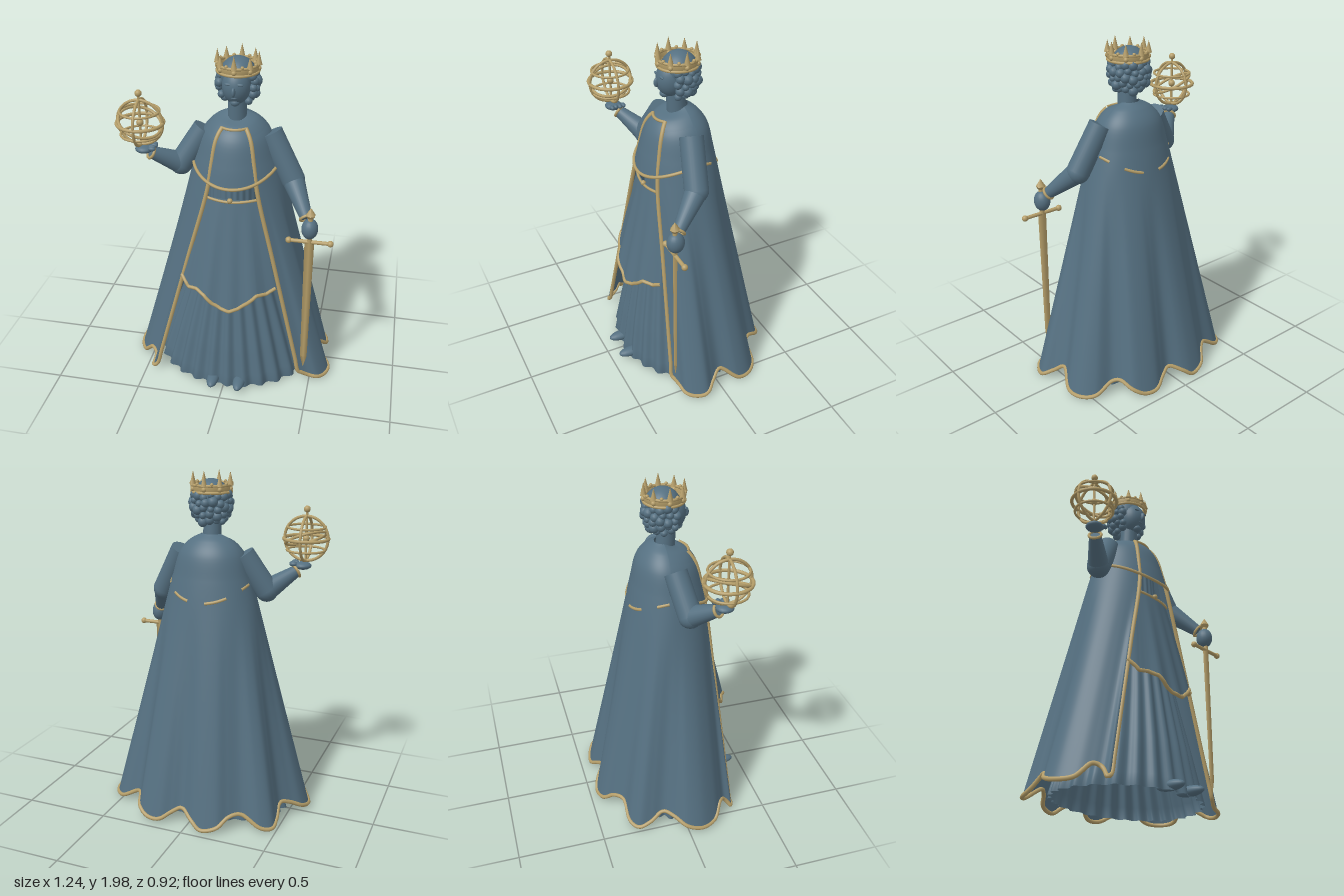
import * as THREE from 'three';
import { ParametricGeometry } from 'three/addons/geometries/ParametricGeometry.js';

const V = (x, y, z) => new THREE.Vector3(x, y, z);
const lerp = THREE.MathUtils.lerp;

export function createModel() {
  const model = new THREE.Group();
  const cloth = new THREE.MeshStandardMaterial({ color: 0x557081, side: THREE.DoubleSide });
  cloth.name = 'slate blue';
  const gold = new THREE.MeshStandardMaterial({ color: 0xb59e69 });
  gold.name = 'old gold';

  const add = (parent, name, geo, mat, p = V(0, 0, 0), scale) => {
    const m = new THREE.Mesh(geo, mat);
    m.name = name;
    m.position.copy(p);
    if (scale) m.scale.set(...scale);
    parent.add(m);
    return m;
  };
  const group = (name, x = 0, y = 0, z = 0) => {
    const g = new THREE.Group();
    g.name = name;
    g.position.set(x, y, z);
    model.add(g);
    return g;
  };
  const ball = (parent, name, mat, p, sx, sy = sx, sz = sx, n = 20) =>
    add(parent, name, new THREE.SphereGeometry(1, n, Math.ceil(n * 0.7)), mat, p, [sx, sy, sz]);
  const rod = (parent, name, mat, a, b, ra, rb = ra, n = 20) => {
    const m = add(parent, name, new THREE.CylinderGeometry(rb, ra, a.distanceTo(b), n), mat, a.clone().lerp(b, 0.5));
    m.quaternion.setFromUnitVectors(V(0, 1, 0), b.clone().sub(a).normalize());
    return m;
  };
  const trim = (parent, name, pts, r = 0.01) =>
    add(parent, name, new THREE.TubeGeometry(new THREE.CatmullRomCurve3(pts), pts.length * 4, r, 8), gold);
  const surface = (parent, name, f, nu, nv) =>
    add(parent, name, new ParametricGeometry((u, v, t) => t.copy(f(u, v)), nu, nv), cloth);
  const samples = (n, f) => Array.from({ length: n + 1 }, (_, i) => f(i / n));
  // Interpolates rows of numbers placed evenly along t
  const rowAt = (rows, t) => {
    const k = Math.min(t * (rows.length - 1), rows.length - 1.0001), i = Math.floor(k);
    return rows[i].map((a, j) => lerp(a, rows[i + 1][j], k - i));
  };

  // Cloak: shoulder rings [y, half width, back depth, front depth] flowing into a scalloped hem
  const shoulders = [[1.64, 0.058, 0.05, 0.072], [1.605, 0.125, 0.095, 0.143], [1.54, 0.183, 0.142, 0.187],
    [1.4, 0.228, 0.175, 0.224], [1.25, 0.27, 0.205, 0.25]];
  const hem = new THREE.CatmullRomCurve3([
    [-0.43, 0.05, 0.305], [-0.46, 0.02, 0.31], [-0.45, 0.08, 0.26], [-0.48, 0.1, 0.225], [-0.55, 0.03, 0.17],
    [-0.59, 0.025, 0.08], [-0.575, 0.05, -0.01],
    [-0.52, 0.09, -0.07], [-0.475, 0.11, -0.13], [-0.48, 0.05, -0.21], [-0.475, 0.02, -0.28], [-0.42, 0.03, -0.32],
    [-0.3, 0.1, -0.33], [-0.24, 0.09, -0.375], [-0.19, 0.04, -0.43], [-0.1, 0.02, -0.452], [-0.04, 0.06, -0.435],
    [0.04, 0.1, -0.387], [0.1, 0.07, -0.405], [0.17, 0.025, -0.435], [0.25, 0.025, -0.425], [0.31, 0.06, -0.39],
    [0.345, 0.1, -0.31], [0.38, 0.09, -0.278], [0.49, 0.03, -0.262], [0.555, 0.02, -0.2], [0.572, 0.03, -0.12],
    [0.525, 0.11, -0.01], [0.56, 0.07, 0.05], [0.605, 0.03, 0.11], [0.59, 0.02, 0.17],
    [0.55, 0.03, 0.22], [0.49, 0.05, 0.235], [0.435, 0.09, 0.262]].map(p => V(...p)));
  hem.arcLengthDivisions = 600;
  const ringPoints = (a, grow = 0) => shoulders.map(([y, rx, back, front], i) => {
    const c = Math.cos(a);
    return V(0.01 - (rx + grow) * Math.sin(a), y - 0.03 * Math.max(c, 0) * (1 - i / 4), c * ((c > 0 ? front : back) + grow));
  });
  const ring = (t, a, grow) => new THREE.CatmullRomCurve3(ringPoints(a, grow)).getPoint(t);
  // Folds run radially down the back, while the front edges swing outwards
  const ringAngle = p => {
    const f = Math.atan2(Math.abs(p.x), p.z);
    return -Math.sign(p.x) * (f - 0.45 * ((Math.PI - f) / (Math.PI - 1)) ** 2);
  };
  const cloakPoint = (u, v) => {
    const end = hem.getPointAt(u), pts = ringPoints(ringAngle(end)), top = pts[4];
    const mids = [0.35, 0.7].map(w => top.clone().lerp(end, w));
    return new THREE.CatmullRomCurve3([...pts, ...mids, end]).getPoint(v);
  };
  const cloak = group('cloak');
  surface(cloak, 'cloakCloth', cloakPoint, 200, 42);
  trim(cloak, 'cloakTrim', [
    ...samples(24, t => cloakPoint(0, lerp(1 / 7, 1, t))).slice(0, -1),
    ...samples(110, t => cloakPoint(t, 1)),
    ...samples(24, t => cloakPoint(1, lerp(1, 1 / 7, t))).slice(1)], 0.012);
  const [edgeA, edgeB] = [0, 1].map(u => ringAngle(hem.getPointAt(u)));
  trim(cloak, 'neckClasp', samples(8, t => ring(0.25, lerp(edgeA, edgeB, t), 0.005)), 0.008);

  // Short cape over the chest and shoulders, its hem lowest at the front
  const capePoint = (a, v) => {
    const y = 1.325 - 0.045 * Math.cos(2 * a);
    const end = 0.75 + (1.4 - y) / 0.15 * 0.25;
    return ring(end * v, a, lerp(-0.008, Math.cos(a) > -0.1 ? 0.008 : -0.006, v));
  };
  const cape = group('cape');
  surface(cape, 'capeCloth', (u, v) => capePoint(u * Math.PI * 2, v), 72, 20);
  for (const [a, b] of [[-1.35, 1.35], [2.5, 3.0], [3.4, 3.85], [1.7, 2.05], [4.25, 4.6]])
    trim(cape, 'capeTrim', samples(14, t => capePoint(lerp(a, b, t), 1).multiply(V(1.01, 1, 1.02))), 0.009);

  // Pleated gown from chest to floor: [half width, front depth, back depth]
  const gown = group('gown');
  const gownRows = [[0.15, 0.19, 0.12], [0.155, 0.205, 0.13], [0.21, 0.25, 0.17], [0.29, 0.3, 0.21], [0.38, 0.35, 0.26], [0.465, 0.39, 0.31]];
  surface(gown, 'pleatedSkirt', (u, v) => {
    const a = u * Math.PI * 2, [rx, f, b] = rowAt(gownRows, v), c = Math.cos(a);
    const fold = 1 + (0.012 + 0.02 * v) * Math.sin(a * 27 + 0.8 * Math.sin(3 * a));
    return V(rx * Math.sin(a) * fold, lerp(1.38, 0.015, v), c * (c > 0 ? f : b) * fold);
  }, 270, 20);

  // Overskirt with a wavy trimmed hem
  const apronHem = [0.7, 0.645, 0.648, 0.63, 0.585, 0.56, 0.55, 0.565, 0.6, 0.645, 0.64, 0.67].map(y => [y]);
  const apronPoint = (u, v) => {
    const x = (u * 2 - 1) * lerp(0.16, 0.275, v) + 0.008;
    const wave = 0.006 * v * Math.sin(u * 26);
    return V(x, lerp(1.2, rowAt(apronHem, u)[0], v), lerp(0.222, 0.365, v) - 1.45 * x * x + wave);
  };
  surface(gown, 'overskirt', apronPoint, 60, 20);
  trim(gown, 'overskirtTrim', samples(33, t => apronPoint(t, 1)), 0.011);
  trim(gown, 'belt', samples(12, t => apronPoint(t, 0.005).add(V(0, -0.012 * Math.sin(t * Math.PI), 0.004))), 0.008);
  ball(gown, 'beltKnot', gold, V(0.012, 1.195, 0.228), 0.015);
  for (const x of [-0.065, 0.095]) ball(gown, 'shoe', cloth, V(x, 0.045, 0.37), 0.036, 0.028, 0.088);

  // Head, face and curled hair
  const head = group('head', 0.014, 1.8, 0.015);
  rod(head, 'neck', cloth, V(0, -0.21, 0.005), V(0, -0.06, 0.015), 0.054, 0.05);
  ball(head, 'face', cloth, V(0, 0, 0.038), 0.078, 0.1, 0.083, 32);
  ball(head, 'scalp', cloth, V(0, 0.045, -0.01), 0.1, 0.1, 0.1, 32);
  ball(head, 'nose', cloth, V(0, -0.01, 0.122), 0.011, 0.026, 0.017);
  ball(head, 'mouth', cloth, V(0, -0.047, 0.106), 0.02, 0.007, 0.007);
  ball(head, 'chin', cloth, V(0, -0.08, 0.078), 0.026, 0.022, 0.025);
  for (const s of [-1, 1]) ball(head, 'brow', cloth, V(s * 0.03, 0.028, 0.108), 0.022, 0.007, 0.008);
  for (let row = 0; row < 5; row++) {
    const n = [11, 11, 11, 10, 8][row], r = [0.096, 0.104, 0.103, 0.092, 0.072][row];
    for (let i = 0; i < n; i++) {
      const a = lerp(1.1 + (row % 2) * 0.12, Math.PI * 2 - 1.1 - ((row + 1) % 2) * 0.12, i / (n - 1));
      const size = 0.024 + 0.005 * Math.sin(i * 5 + row * 3), shift = 0.008 * Math.sin(i * 2.3 + row);
      ball(head, 'curl', cloth, V(r * Math.sin(a), 0.055 - row * 0.034 + shift, r * Math.cos(a) - 0.005), size, size, size, 12);
    }
  }

  // Crown
  const crown = group('crown', 0.015, 1.873, 0.014);
  const bandProfile = [[0.106, 0], [0.112, 0], [0.117, 0.036], [0.109, 0.036], [0.106, 0]].map(p => new THREE.Vector2(...p));
  add(crown, 'crownBand', new THREE.LatheGeometry(bandProfile, 40), gold);
  for (const y of [0, 0.038])
    add(crown, 'crownRim', new THREE.TorusGeometry(0.112, 0.008, 8, 48), gold, V(0, y, 0)).rotation.x = Math.PI / 2;
  for (let i = 0; i < 16; i++) {
    const a = i * Math.PI / 8, p = y => V(0.112 * Math.sin(a), y, 0.112 * Math.cos(a));
    if (i % 2) ball(crown, 'crownBead', gold, p(0.046), 0.01, 0.01, 0.01, 10);
    else {
      const h = i % 4 ? 0.066 : 0.074;
      add(crown, 'crownSpike', new THREE.ConeGeometry(0.018, h, 8), gold, p(0.036 + h / 2));
      ball(crown, 'crownJewel', gold, p(0.018), 0.014, 0.014, 0.014, 10);
    }
  }

  // Arms: shoulder, elbow, wrist
  const arm = (name, s, e, w) => {
    const g = group(name);
    rod(g, 'upperSleeve', cloth, s, e, 0.066, 0.067, 28);
    ball(g, 'elbow', cloth, e, 0.067);
    rod(g, 'forearm', cloth, e, w, 0.064, 0.034, 28);
    const cuff = add(g, 'cuff', new THREE.TorusGeometry(0.035, 0.008, 8, 24), gold, w);
    cuff.quaternion.setFromUnitVectors(V(0, 0, 1), w.clone().sub(e).normalize());
    return g;
  };
  const right = arm('rightArm', V(-0.17, 1.53, 0.025), V(-0.3, 1.325, 0.07), V(-0.44, 1.425, 0.175));
  ball(right, 'palm', cloth, V(-0.47, 1.455, 0.198), 0.05, 0.023, 0.05);
  for (let i = 0; i < 4; i++)
    ball(right, 'finger', cloth, V(-0.425 + 0.006 * (i % 2), 1.468, 0.155 + i * 0.024), 0.022, 0.013, 0.013, 12);
  const left = arm('leftArm', V(0.2, 1.535, 0.025), V(0.335, 1.28, 0.06), V(0.435, 1.13, 0.215));
  ball(left, 'fist', cloth, V(0.46, 1.08, 0.245), 0.046, 0.06, 0.05);

  // Armillary sphere: great circles, parallels, tilted band and axis
  const orb = group('armillarySphere', -0.483, 1.61, 0.205);
  const hoop = (r, y, rx, ry, t = 0.0085) =>
    add(orb, 'orbRing', new THREE.TorusGeometry(r, t, 8, 56), gold, V(0, y, 0)).rotation.set(rx, ry, 0);
  hoop(0.126, 0, 0, 0);
  hoop(0.126, 0, 0, Math.PI / 2);
  hoop(0.126, 0, Math.PI / 2, 0, 0.01);
  for (const y of [-0.065, 0.065]) hoop(0.107, y, Math.PI / 2, 0, 0.007);
  hoop(0.118, 0, Math.PI / 2 + 0.3, -0.35);
  rod(orb, 'orbAxis', gold, V(0, -0.14, 0), V(0, 0.16, 0), 0.007);
  ball(orb, 'orbCore', gold, V(0, 0, 0), 0.02);
  ball(orb, 'orbKnob', gold, V(0, 0.165, 0), 0.019);

  // Sword held point down
  const sword = group('sword', 0.462, 0, 0.25);
  const blade = rod(sword, 'blade', gold, V(0, 0.2, 0), V(0, 1, 0), 0.02, 0.027, 4);
  const tip = rod(sword, 'bladeTip', gold, V(0, 0.12, 0), V(0, 0.2, 0), 0.001, 0.02, 4);
  for (const m of [blade, tip]) m.scale.z = 0.45;
  rod(sword, 'grip', gold, V(0, 1, 0), V(0, 1.16, 0), 0.014);
  rod(sword, 'crossguard', gold, V(-0.112, 1, 0), V(0.112, 1, 0), 0.011);
  for (const x of [-0.115, 0.115]) ball(sword, 'guardKnob', gold, V(x, 1, 0), 0.018);
  rod(sword, 'pommelBase', gold, V(0, 1.15, 0), V(0, 1.168, 0), 0.016, 0.028, 6);
  rod(sword, 'pommelTip', gold, V(0, 1.168, 0), V(0, 1.21, 0), 0.028, 0.002, 6);

  return model;
}
